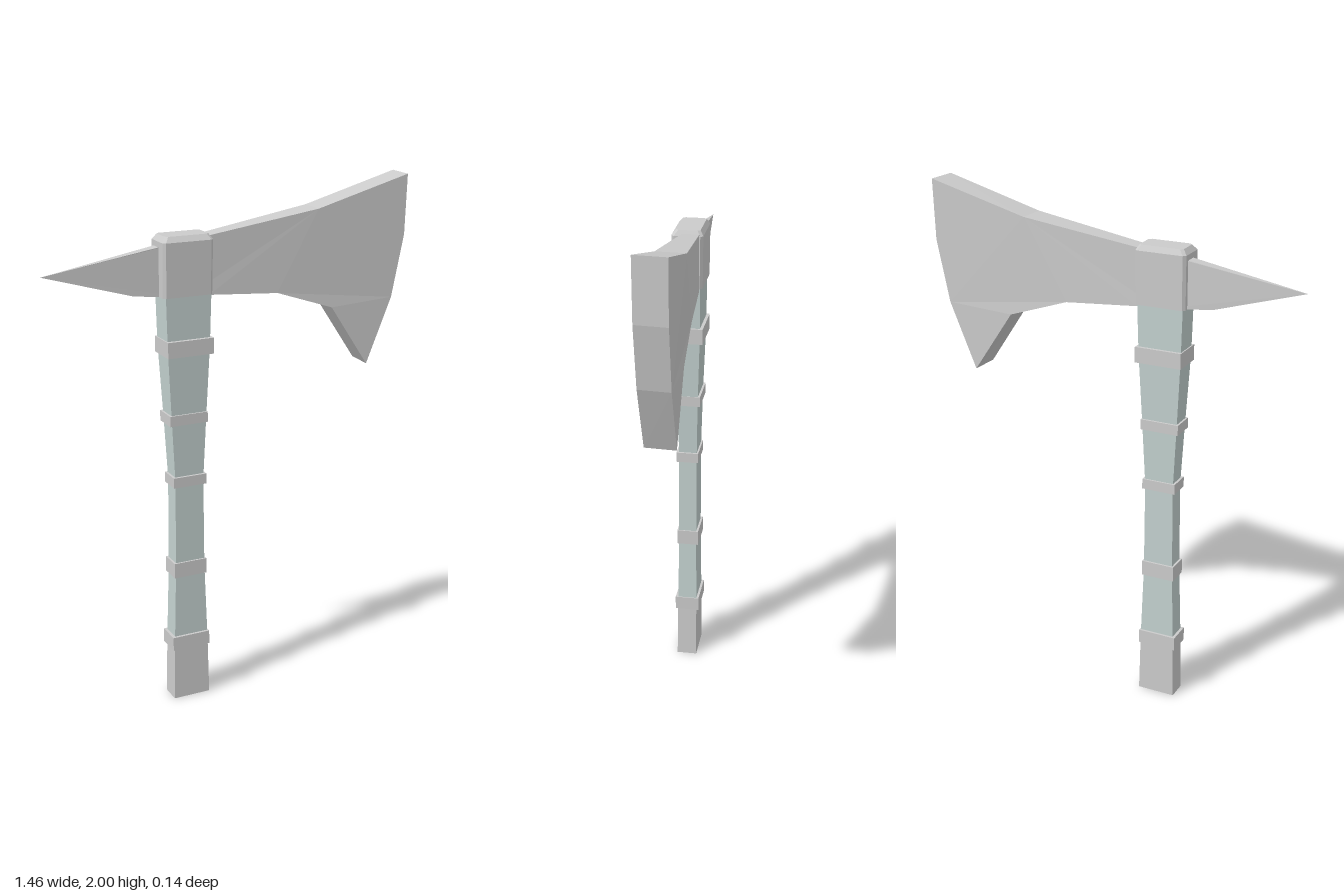
import * as THREE from 'three';

const grey = new THREE.MeshStandardMaterial({ color: 0xcccccc, flatShading: true });
const wrap = new THREE.MeshStandardMaterial({ color: 0xc3d1cf, flatShading: true });

// Closed solid through rectangular sections [y, x0, x1, z0, z1]; c cuts the corners
function loft(sections, c = 0) {
  const pos = [];
  const rings = sections.map(([y, x0, x1, z0, z1]) => {
    const pts = c
      ? [[x0 + c, z1], [x1 - c, z1], [x1, z1 - c], [x1, z0 + c], [x1 - c, z0], [x0 + c, z0], [x0, z0 + c], [x0, z1 - c]]
      : [[x0, z1], [x1, z1], [x1, z0], [x0, z0]];
    return pts.map(([x, z]) => [x, y, z]);
  });
  const tri = (a, b, d) => pos.push(...a, ...b, ...d);
  const n = rings[0].length;
  for (let i = 0; i + 1 < rings.length; i++) {
    for (let j = 0; j < n; j++) {
      const k = (j + 1) % n, lo = rings[i], hi = rings[i + 1];
      tri(lo[j], lo[k], hi[k]);
      tri(lo[j], hi[k], hi[j]);
    }
  }
  const bottom = rings[0], top = rings[rings.length - 1];
  for (let j = 1; j + 1 < n; j++) {
    tri(bottom[0], bottom[j + 1], bottom[j]);
    tri(top[0], top[j], top[j + 1]);
  }
  const geo = new THREE.BufferGeometry();
  geo.setAttribute('position', new THREE.Float32BufferAttribute(pos, 3));
  geo.computeVertexNormals();
  return geo;
}

// Piecewise linear lookup in rows [x, back z, front z]
function thickness(rows, x, col) {
  let i = 0;
  while (i < rows.length - 2 && x > rows[i + 1][0]) i++;
  const a = rows[i], b = rows[i + 1];
  const t = THREE.MathUtils.clamp((x - a[0]) / (b[0] - a[0]), 0, 1);
  return THREE.MathUtils.lerp(a[col], b[col], t);
}

// Outline extruded into a plate whose thickness varies along x
function plate(outline, rows, skew = 0) {
  const shape = new THREE.Shape(outline.map(([x, y]) => new THREE.Vector2(x, y)));
  const geo = new THREE.ExtrudeGeometry(shape, { depth: 1, bevelEnabled: false });
  const p = geo.attributes.position;
  for (let i = 0; i < p.count; i++) {
    const x = p.getX(i), front = p.getZ(i) > 0.5;
    p.setZ(i, thickness(rows, x, front ? 2 : 1));
    if (!front) p.setX(i, x + skew * Math.max(0, x));
  }
  geo.computeVertexNormals();
  return geo;
}

export function createModel() {
  const group = new THREE.Group();
  const add = (name, geo, mat = grey) => {
    const mesh = new THREE.Mesh(geo, mat);
    mesh.name = name;
    group.add(mesh);
  };

  // Handle: bare butt below, wrapped grip above
  add('handleButt', loft([
    [0, -0.27, -0.12, -0.032, 0.047],
    [0.24, -0.265, -0.125, -0.031, 0.045],
  ]));
  add('grip', loft([
    [0.24, -0.265, -0.125, -0.031, 0.045],
    [0.55, -0.255, -0.135, -0.028, 0.042],
    [0.91, -0.252, -0.137, -0.028, 0.042],
    [1.155, -0.265, -0.125, -0.033, 0.046],
    [1.43, -0.28, -0.112, -0.042, 0.054],
    [1.64, -0.285, -0.105, -0.043, 0.055],
  ]), wrap);

  // Bands: bottom y, top y, x range, z range
  [
    [0.215, 0.27, -0.275, -0.122, -0.04, 0.055],
    [0.52, 0.58, -0.263, -0.13, -0.036, 0.049],
    [0.89, 0.93, -0.262, -0.128, -0.035, 0.052],
    [1.135, 1.175, -0.274, -0.122, -0.042, 0.053],
    [1.4, 1.46, -0.285, -0.102, -0.054, 0.069],
  ].forEach(([y0, y1, ...r], i) => add(`band${i + 1}`, loft([[y0, ...r], [y1, ...r]])));

  // Collar with cut corners and a bevelled top
  add('collar', loft([
    [1.62, -0.295, -0.1, -0.052, 0.06],
    [1.82, -0.295, -0.098, -0.054, 0.065],
    [1.84, -0.28, -0.11, -0.042, 0.049],
  ], 0.01));

  // Flared blade, thickening towards its edge
  add('blade', plate([
    [-0.18, 1.615], [-0.1, 1.61], [0.175, 1.592], [0.405, 1.515], [0.565, 1.275],
    [0.668, 1.53], [0.716, 1.77], [0.722, 2], [0.34, 1.895], [-0.1, 1.828], [-0.18, 1.817],
  ], [[-0.18, -0.034, 0.02], [-0.1, -0.04, 0.025], [0.34, -0.067, 0.044], [0.72, -0.072, 0.046]], 0.011));

  // Back spike tapering to a point
  add('spike', plate([
    [-0.73, 1.728], [-0.39, 1.63], [-0.2, 1.612], [-0.2, 1.812], [-0.29, 1.8],
  ], [[-0.73, -0.001, 0.001], [-0.29, -0.027, 0.018], [-0.2, -0.033, 0.021]]));

  return group;
}
